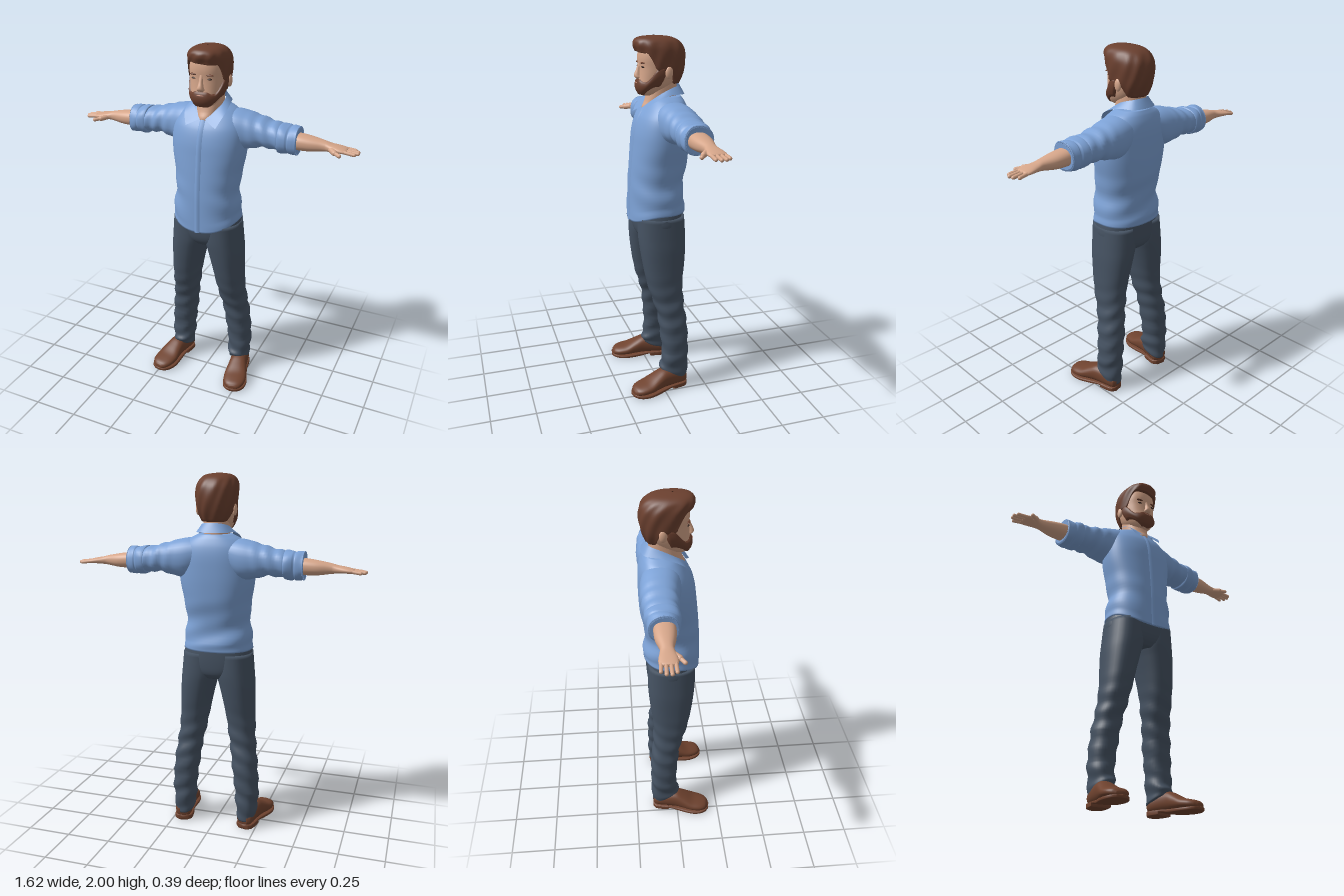
import * as THREE from 'three';
import { mergeVertices } from 'three/addons/utils/BufferGeometryUtils.js';

const material = (name, color, side = THREE.FrontSide) =>
  Object.assign(new THREE.MeshStandardMaterial({ color, side }), { name });
const ss = THREE.MathUtils.smoothstep;
const V = (x, y, z) => new THREE.Vector3(x, y, z);

// Smooth surface through rows i and columns j of points
function grid(ni, nj, fn) {
  const pos = [], idx = [];
  for (let i = 0; i <= ni; i++) for (let j = 0; j <= nj; j++) pos.push(...fn(i, j).toArray());
  for (let i = 0; i < ni; i++) for (let j = 0; j < nj; j++) {
    const a = i * (nj + 1) + j, b = a + nj + 1;
    idx.push(a, b, a + 1, a + 1, b, b + 1);
  }
  let g = new THREE.BufferGeometry();
  g.setAttribute('position', new THREE.Float32BufferAttribute(pos, 3));
  g.setIndex(idx);
  g = mergeVertices(g, 1e-5);
  g.computeVertexNormals();
  return g;
}

// Cross-section at t; ring = [t, a0, a1, b0, b1, power]
function at(rings, t) {
  let i = 0;
  while (i < rings.length - 2 && t > rings[i + 1][0]) i++;
  const p = rings[i], q = rings[i + 1], o = rings[Math.max(0, i - 1)], r = rings[Math.min(rings.length - 1, i + 2)];
  const h = q[0] - p[0], f = THREE.MathUtils.clamp((t - p[0]) / h, 0, 1), f2 = f * f, f3 = f2 * f;
  return [1, 2, 3, 4, 5].map(k => {
    const v = R => R[k] ?? 2.3;
    const m0 = (v(q) - v(o)) / (q[0] - o[0]) * h, m1 = (v(r) - v(p)) / (r[0] - p[0]) * h;
    return (2 * f3 - 3 * f2 + 1) * v(p) + (f3 - 2 * f2 + f) * m0 + (3 * f2 - 2 * f3) * v(q) + (f3 - f2) * m1;
  });
}

function section(rings, t, th, off = 0) {
  const [a0, a1, b0, b1, n] = at(rings, t);
  const e = c => Math.sign(c) * Math.abs(c) ** (2 / n);
  return [(a0 + a1) / 2 + ((a1 - a0) / 2 + off) * e(Math.cos(th)),
    (b0 + b1) / 2 + ((b1 - b0) / 2 + off) * e(Math.sin(th))];
}

const alongY = (t, a, b) => V(a, t, b), alongX = (t, a, b) => V(t, b, a), alongZ = (t, a, b) => V(b, a, t);

// Closed loft; fold gives a radial offset, warp moves the finished point
function loft(rings, map, { steps = 4, seg = 32, fold = () => 0, warp = p => p } = {}) {
  const ts = [];
  rings.forEach((r, i) => {
    if (i) for (let k = 1; k <= steps; k++) ts.push(THREE.MathUtils.lerp(rings[i - 1][0], r[0], k / steps));
    else ts.push(r[0]);
  });
  return grid(ts.length + 1, seg, (i, j) => {
    const t = ts[THREE.MathUtils.clamp(i - 1, 0, ts.length - 1)], th = (j % seg) / seg * Math.PI * 2;
    const [a0, a1, b0, b1] = at(rings, t), end = i === 0 || i > ts.length;
    const [a, b] = end ? [(a0 + a1) / 2, (b0 + b1) / 2] : section(rings, t, th, fold(t, th));
    return warp(map(t, a, b), end ? 0 : Math.sin(th));
  });
}

const sym = rows => rows.map(([y, x, z0, z1, n]) => [y, -x, x, z0, z1, n]);

function ball(x, y, z, rx, ry, rz) {
  return new THREE.SphereGeometry(1, 20, 14).scale(rx, ry, rz).translate(x, y, z);
}

function capsule(p, q, r) {
  const d = q.clone().sub(p), g = new THREE.CapsuleGeometry(r, d.length(), 5, 12);
  g.applyQuaternion(new THREE.Quaternion().setFromUnitVectors(V(0, 1, 0), d.clone().normalize()));
  return g.translate(...p.clone().add(q).multiplyScalar(0.5).toArray());
}

function mirror(geo) {
  const g = geo.clone().scale(-1, 1, 1), ix = g.index.array;
  for (let i = 0; i < ix.length; i += 3) [ix[i], ix[i + 1]] = [ix[i + 1], ix[i]];
  return g;
}

export function createModel() {
  const model = new THREE.Group();
  model.name = 'standingMan';
  const skin = material('skin', 0xd6a68a), hair = material('hair', 0x6b402f, THREE.DoubleSide);
  const shirt = material('shirtBlue', 0x7da2d6, THREE.DoubleSide), denim = material('denim', 0x465363);
  const leather = material('shoeLeather', 0x70432f), dark = material('eyeDark', 0x3a2a24);
  const lip = material('lip', 0xb57d68);
  const add = (name, geo, mat) => {
    const m = new THREE.Mesh(geo, mat);
    m.name = name;
    model.add(m);
  };
  const pair = (name, geo, mat) => {
    add(name + 'Left', geo, mat);
    add(name + 'Right', mirror(geo), mat);
  };

  // Shirt body with a curved hem and soft folds at the waist
  const torso = sym([[1.05, .194, -.172, .14], [1.1, .192, -.17, .138], [1.2, .177, -.16, .134], [1.32, .187, -.182, .125],
    [1.42, .205, -.189, .115], [1.5, .21, -.19, .105], [1.57, .205, -.188, .085], [1.62, .185, -.18, .055],
    [1.66, .14, -.165, .025], [1.685, .09, -.15, 0]]);
  const hemDrop = (y, s) => (1 - ss(y, 1.05, 1.2)) * .055 * Math.max(0, s) ** 2;
  add('shirtBody', loft(torso, alongY, {
    seg: 56, steps: 6,
    fold: (y, th) => .005 * Math.sin(y * 48 + 3 * Math.cos(th)) * (1 - ss(y, 1.1, 1.4)) * ss(y, 1.05, 1.1)
      * (1 - Math.max(0, Math.sin(th)) ** 8),
    warp: (p, s) => { p.y -= hemDrop(p.y, s); return p; },
  }), shirt);
  add('buttonPlacket', grid(40, 3, (i, j) => {
    const y = 1.05 + i / 40 * .575;
    return V((j - 1.5) * .012, y - hemDrop(y, 1), at(torso, y)[3] + (j % 3 ? .005 : -.002));
  }), shirt);

  // Folded collar with pointed tips
  const half = [[[.055, 1.74, -.125], [.075, 1.695, -.15]], [[.08, 1.72, -.06], [.108, 1.692, -.06]],
    [[.07, 1.68, .01], [.112, 1.652, .04]], [[.015, 1.625, .064], [.085, 1.59, .09]]];
  const edge = (k, back) => new THREE.CatmullRomCurve3([
    ...half.map(h => V(-h[k][0], h[k][1], h[k][2])).reverse(), V(...back), ...half.map(h => V(...h[k]))]);
  const top = edge(0, [0, 1.745, -.145]), low = edge(1, [0, 1.695, -.17]);
  add('collar', grid(4, 48, (i, j) => low.getPoint(j / 48).lerp(top.getPoint(j / 48), i / 4)), shirt);

  // Sleeves and rolled cuffs
  pair('sleeve', loft([[.08, -.17, .02, 1.5, 1.66], [.15, -.185, .03, 1.45, 1.662], [.22, -.187, .015, 1.455, 1.648],
    [.3, -.182, .003, 1.475, 1.625], [.38, -.174, -.002, 1.468, 1.607], [.42, -.16, -.01, 1.47, 1.6]], alongX, {
    steps: 6, fold: (x, th) => .004 * Math.sin(x * 85 + 2 * Math.sin(th)) * ss(x, .18, .3),
  }), shirt);
  pair('cuff', loft([[.382, -.165, -.01, 1.475, 1.6], [.39, -.177, .003, 1.46, 1.612], [.43, -.172, .001, 1.458, 1.608],
    [.442, -.165, -.005, 1.462, 1.602], [.45, -.168, -.004, 1.456, 1.606], [.483, -.16, -.008, 1.457, 1.604],
    [.491, -.154, -.016, 1.466, 1.596], [.486, -.145, -.022, 1.475, 1.585]], alongX, {
    steps: 3, fold: (x, th) => .002 * Math.sin(3 * th + x * 60),
  }), shirt);

  // Forearm, palm, fingers and thumb
  pair('forearmAndPalm', loft([[.44, -.135, -.03, 1.487, 1.575], [.5, -.138, -.028, 1.485, 1.571],
    [.56, -.134, -.035, 1.487, 1.563], [.63, -.117, -.05, 1.497, 1.55], [.66, -.12, -.046, 1.5, 1.542],
    [.7, -.128, -.038, 1.502, 1.535], [.735, -.128, -.04, 1.503, 1.527], [.745, -.118, -.05, 1.508, 1.522]], alongX), skin);
  [[-.116, -.122, .778], [-.095, -.098, .797], [-.073, -.073, .8], [-.051, -.05, .786]].forEach(([z0, z1, x], i) =>
    pair('finger' + (i + 1), capsule(V(.725, 1.516, z0), V(x, 1.509, z1), .0095), skin));
  pair('thumbBase', capsule(V(.655, 1.52, -.066), V(.69, 1.512, -.03), .015), skin);
  pair('thumb', capsule(V(.69, 1.512, -.03), V(.72, 1.507, -.009), .0105), skin);

  // Trousers
  add('trouserSeat', loft(sym([[.89, .1, -.13, .075], [.92, .16, -.15, .1], [.97, .196, -.156, .113],
    [1.04, .192, -.155, .117], [1.09, .18, -.15, .115]]), alongY, { seg: 40 }), denim);
  pair('trouserLeg', loft([[.075, .133, .244, -.148, .0], [.12, .13, .247, -.152, .013], [.17, .124, .252, -.152, .002],
    [.23, .12, .255, -.152, -.004], [.39, .1, .243, -.15, .01], [.48, .088, .232, -.137, .022], [.55, .075, .223, -.133, .045],
    [.65, .058, .217, -.132, .073], [.76, .036, .213, -.145, .093], [.85, .014, .21, -.153, .105],
    [.92, -.004, .204, -.155, .111], [1.03, -.005, .194, -.15, .112]], alongY, {
    steps: 6,
    fold: (y, th) => .004 * Math.sin(y * 62 + 2.5 * Math.sin(th + 1)) * (1 - ss(y, .5, .75)) * ss(y, .075, .11),
    warp: (p, s) => { p.y += s * .028 * (1 - ss(p.y, .075, .17)); return p; },
  }), denim);

  // Shoes turned slightly outward: upper, sole and heel
  const place = g => g.rotateY(.2).translate(.212, 0, 0);
  const shoeRing = rows => rows.map(([z, x, y0, y1, n]) => [z, y0, y1, -x, x, n]);
  pair('shoeUpper', place(loft(shoeRing([[-.145, .025, .03, .08], [-.13, .045, .018, .095], [-.06, .051, .015, .12],
    [0, .053, .015, .124], [.05, .06, .014, .102], [.1, .067, .013, .076], [.15, .061, .012, .063],
    [.18, .044, .012, .053], [.194, .022, .014, .038]]), alongZ)), leather);
  pair('shoeSole', place(loft(shoeRing([[-.14, .03, .016, .03, 5], [-.12, .05, .016, .03, 5], [-.03, .053, .014, .028, 5],
    [.02, .058, .004, .024, 5], [.1, .071, 0, .02, 5], [.15, .065, 0, .02, 5], [.185, .045, .003, .022, 5],
    [.199, .02, .006, .022, 5]]), alongZ)), leather);
  pair('shoeHeel', place(loft(shoeRing([[-.145, .028, 0, .03, 6], [-.125, .05, 0, .03, 6], [-.06, .054, 0, .03, 6],
    [-.045, .053, .001, .03, 6]]), alongZ)), leather);

  // Neck and head
  add('neck', loft(sym([[1.56, .05, -.1, .04], [1.62, .05, -.12, .06], [1.66, .067, -.128, .043], [1.72, .07, -.13, .03],
    [1.8, .07, -.13, .02]]), alongY), skin);
  const head = sym([[1.688, .03, 0, .055], [1.7, .052, -.03, .074], [1.74, .079, -.1, .085], [1.79, .093, -.14, .08],
    [1.84, .098, -.15, .077], [1.89, .1, -.155, .08], [1.94, .09, -.15, .07], [1.97, .06, -.11, .04]]);
  add('head', loft(head, alongY, { seg: 40 }), skin);
  add('nose', loft(sym([[1.776, .014, .06, .085], [1.784, .021, .06, .098], [1.798, .017, .06, .102],
    [1.825, .011, .06, .091], [1.85, .011, .055, .082], [1.87, .012, .05, .076]]), alongY, { seg: 20 }), skin);
  pair('ear', ball(.102, 1.813, -.06, .012, .033, .021), skin);
  pair('eye', ball(.042, 1.841, .066, .015, .005, .0085), dark);
  pair('eyebrow', ball(.043, 1.861, .068, .024, .005, .01).rotateZ(0), hair);

  // Beard follows the jaw up to the sideburns
  add('beard', grid(12, 48, (i, j) => {
    const phi = (j / 48 - .5) * 3.3, f = Math.abs(phi);
    const y0 = 1.691 + .05 * ss(f, .6, 1.5), y1 = 1.777 - .01 * ss(f, .3, .6) + .075 * ss(f, .8, 1.45);
    const y = THREE.MathUtils.lerp(y0, y1, i / 12);
    const off = i === 0 || i === 12 || j === 0 || j === 48 ? -.003 : .005 + .006 * Math.sin(Math.PI * i / 12);
    const [x, z] = section(head, y, Math.PI / 2 + phi, off);
    return V(x, y - (i < 2 ? .003 : 0), z);
  }), hair);
  add('mouth', ball(0, 1.757, .091, .021, .004, .006), lip);

  // Swept hair: long at the nape, short over the ears, raised in front
  const mop = sym([[1.74, .072, -.138, .05], [1.8, .1, -.163, .075], [1.86, .108, -.175, .083], [1.92, .109, -.172, .094],
    [1.955, .101, -.155, .106], [1.98, .083, -.125, .097], [1.994, .052, -.08, .065], [2, .004, -.01, 0]]);
  add('hair', grid(28, 64, (i, j) => {
    const th = (j % 64) / 64 * Math.PI * 2, s = Math.sin(th);
    const y0 = 1.75 + .075 * ss(s, -.55, -.1) + .095 * ss(s, .3, .72) - .012 * Math.cos(th) * ss(s, .6, .8);
    const y = THREE.MathUtils.lerp(y0, 2, 1 - (1 - Math.max(0, i - 1) / 27) ** 1.6);
    const strand = .0022 * Math.sin(11 * th + 40 * y) * (1 - ss(y, 1.95, 1.99));
    const [x, z] = section(mop, y, th, i === 0 ? -.022 : strand);
    return V(x, y, z);
  }), hair);

  return model;
}
